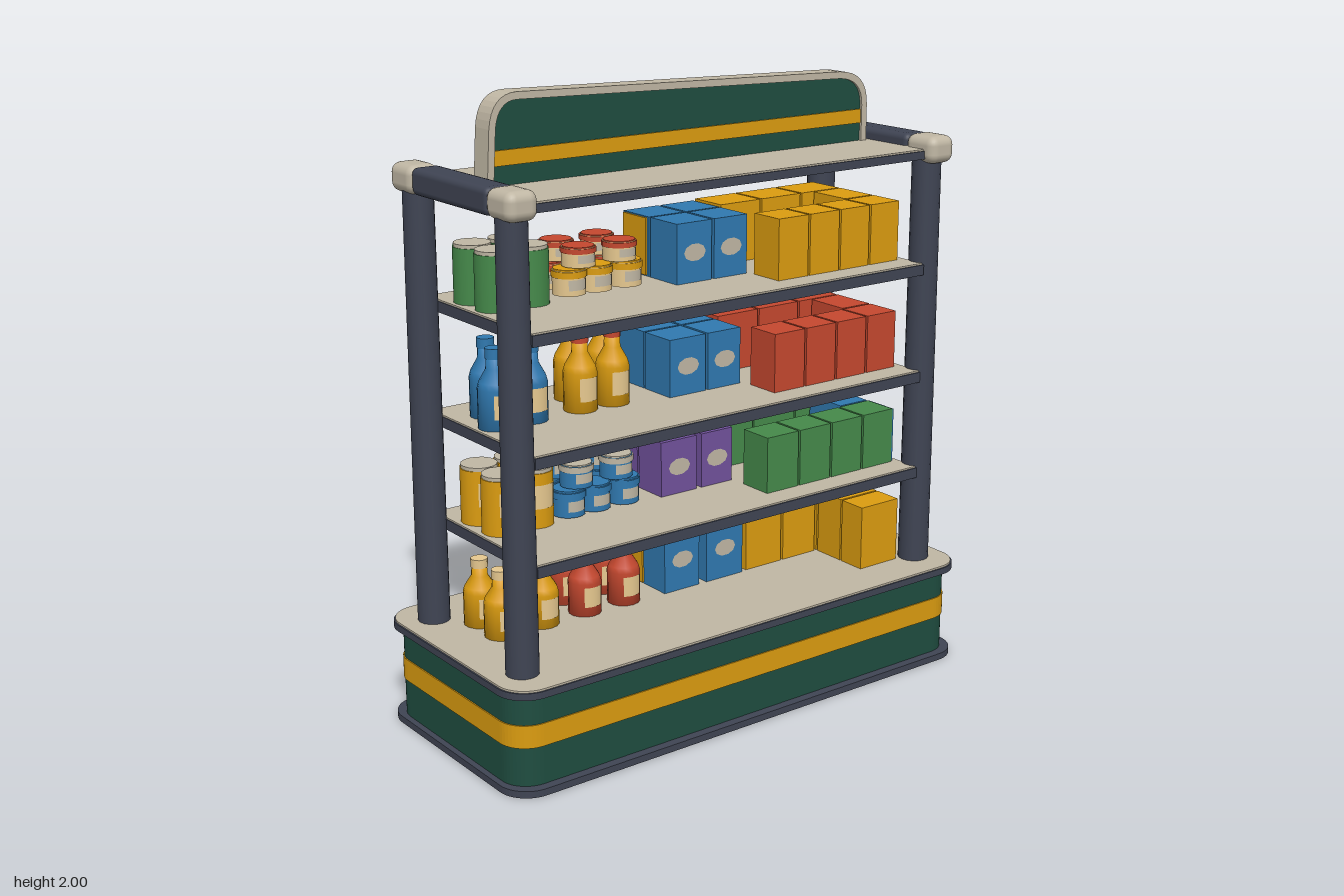
import * as THREE from 'three';
import { RoundedBoxGeometry } from 'three/addons/geometries/RoundedBoxGeometry.js';

const mat = (name, color) => Object.assign(new THREE.MeshStandardMaterial({ color }), { name });

export function createModel() {
  const M = {
    navy: mat('slate navy', 0x3f4453), beige: mat('warm beige', 0xc0b7a4), pine: mat('pine green', 0x1f4d40),
    gold: mat('gold', 0xdb9c10), blue: mat('blue', 0x3079b0), red: mat('red', 0xc5482f),
    green: mat('leaf green', 0x45894a), purple: mat('purple', 0x71529c), cream: mat('cream', 0xe6c88f),
  };
  const root = new THREE.Group();
  root.name = 'shopShelf';
  const add = (name, geo, m, x = 0, y = 0, z = 0, parent = root) => {
    const mesh = new THREE.Mesh(geo, m);
    mesh.name = name;
    mesh.position.set(x, y, z);
    parent.add(mesh);
    return mesh;
  };

  // Horizontal slab with rounded corners, bottom at y0
  const slab = (name, m, w, d, r, y0, y1) => {
    const s = new THREE.Shape(), a = w / 2, b = d / 2;
    s.moveTo(-a + r, -b);
    s.lineTo(a - r, -b); s.absarc(a - r, -b + r, r, -Math.PI / 2, 0);
    s.lineTo(a, b - r); s.absarc(a - r, b - r, r, 0, Math.PI / 2);
    s.lineTo(-a + r, b); s.absarc(-a + r, b - r, r, Math.PI / 2, Math.PI);
    s.lineTo(-a, -b + r); s.absarc(-a + r, -b + r, r, Math.PI, Math.PI * 1.5);
    const g = new THREE.ExtrudeGeometry(s, { depth: y1 - y0, bevelEnabled: false, curveSegments: 6 });
    g.rotateX(-Math.PI / 2);
    add(name, g, m, 0, y0, 0);
  };

  // Plinth
  slab('footPlate', M.navy, 1.79, 0.78, 0.1, 0, 0.022);
  slab('plinth', M.pine, 1.75, 0.72, 0.09, 0.022, 0.31);
  slab('plinthStripe', M.gold, 1.758, 0.728, 0.094, 0.145, 0.217);
  slab('plinthRim', M.navy, 1.79, 0.78, 0.1, 0.31, 0.332);
  slab('plinthTop', M.beige, 1.78, 0.77, 0.095, 0.332, 0.338);

  // Shelves and roof board: dark board with a light top
  for (const y of [0.675, 1.005, 1.365, 1.735]) {
    const t = y > 1.7 ? 0.026 : 0.034;
    add('shelfBoard', new THREE.BoxGeometry(1.5, t, 0.59), M.navy, 0, y - 0.005 - t / 2, 0);
    add('shelfTop', new THREE.BoxGeometry(1.495, 0.006, 0.58), M.beige, 0, y - 0.003, 0);
  }

  // Posts, top rails and corner caps
  for (const sx of [-1, 1]) {
    for (const sz of [-1, 1]) {
      add('post', new THREE.CylinderGeometry(0.047, 0.051, 1.37, 16), M.navy, sx * 0.785, 1.02, sz * 0.255);
      add('cornerCap', new RoundedBoxGeometry(0.104, 0.088, 0.13, 3, 0.03), M.beige, sx * 0.788, 1.732, sz * 0.265);
    }
    add('topRail', new RoundedBoxGeometry(0.096, 0.082, 0.42, 2, 0.02), M.navy, sx * 0.787, 1.732, 0);
  }

  // Header sign, slightly lower on its right-hand end
  const signPath = (S, i) => {
    const s = new S();
    s.moveTo(-0.725 + i, 1.735);
    s.lineTo(-0.715 + i, 1.9);
    s.quadraticCurveTo(-0.705 + i, 2 - i, -0.62, 2 - i);
    s.lineTo(0.6, 1.965 - i);
    s.quadraticCurveTo(0.72 - i, 1.96 - i, 0.72 - i, 1.85);
    s.lineTo(0.72 - i, 1.735);
    return s;
  };
  const rim = signPath(THREE.Shape, 0);
  rim.lineTo(0.698, 1.735);
  const inner = signPath(THREE.Path, 0.022).getPoints(8).reverse();
  inner.forEach((p) => rim.lineTo(p.x, p.y));
  const extrude = (s, depth) => {
    const g = new THREE.ExtrudeGeometry(s, { depth, bevelEnabled: false, curveSegments: 8 });
    g.translate(0, 0, -depth / 2);
    return g;
  };
  add('signRim', extrude(rim, 0.074), M.beige);
  add('signPanel', extrude(signPath(THREE.Shape, 0.02), 0.056), M.pine);
  for (const s of [-1, 1])
    add('signStripe', new THREE.BoxGeometry(1.4, 0.045, 0.006), M.gold, -0.003, 1.815, s * 0.03);

  // Goods
  const label = (m, x, y, z, back, rx = 0.042, ry = 0.028) => {
    const c = add('label', new THREE.CircleGeometry(1, 10), m, x, y, z);
    c.scale.set(rx, ry, 1);
    if (back) c.rotation.y = Math.PI;
  };
  const carton = (m, x0, x1, y, h, z0, z1) =>
    add('carton', new THREE.BoxGeometry(x1 - x0, h, z1 - z0), m, (x0 + x1) / 2, y + h / 2, (z0 + z1) / 2);
  const lathe = (pts) => new THREE.LatheGeometry(pts.map(([r, y]) => new THREE.Vector2(r, y)), 14);
  const wrap = (m, r, h, x, y, z) => {
    for (const a of [-0.6, Math.PI - 0.6])
      add('wrapLabel', new THREE.CylinderGeometry(r, r, h, 6, 1, true, a, 1.2), m, x, y, z);
  };
  const bottle = (m, cap, x, y, z, h) => {
    const r = 0.053;
    add('bottle', lathe([[0, 0], [r, 0], [r, h * 0.5], [r * 0.9, h * 0.58], [0.026, h * 0.74], [0.024, h * 0.9], [0, h * 0.9]]), m, x, y, z);
    add('bottleCap', new THREE.CylinderGeometry(0.027, 0.027, h * 0.13, 12), cap, x, y + h * 0.935, z);
    wrap(M.cream, r + 0.002, h * 0.3, x, y + h * 0.3, z);
  };
  const can = (m, lid, x, y, z, r, h) => {
    add('can', new THREE.CylinderGeometry(r, r, h * 0.94, 16), m, x, y + h * 0.47, z);
    add('canLid', new THREE.CylinderGeometry(r * 0.95, r * 0.95, h * 0.06, 16), lid, x, y + h * 0.97, z);
  };
  const tin = (m, lid, x, y, z, h) => {
    can(m, lid, x, y, z, 0.052, h);
    add('tinRim', new THREE.CylinderGeometry(0.055, 0.055, h * 0.25, 14), lid, x, y + h * 0.8, z);
    wrap(M.beige, 0.0535, h * 0.4, x, y + h * 0.42, z);
  };
  const Y = [0.338, 0.675, 1.005, 1.365];
  const rows = [-0.02, -0.14];

  // Cartons in the middle bay, labelled front and back
  const middle = [
    [M.blue, [-0.09, 0.05], [0.08, 0.23], 0.21, 0.02], [M.purple, [-0.11, 0.03], [0.05, 0.175], 0.18, 0.03],
    [M.blue, [-0.09, 0.05], [0.06, 0.19], 0.185, 0.05], [M.blue, [-0.07, 0.065], [0.075, 0.205], 0.19, 0.06],
  ];
  middle.forEach(([m, a, b, h, front], i) => {
    for (const [x0, x1] of [a, b]) {
      const mid = (front - 0.22) / 2;
      carton(m, x0, x1, Y[i], h, mid + 0.004, front);
      carton(m, x0, x1, Y[i], h, -0.22, mid - 0.004);
      label(M.beige, (x0 + x1) / 2, Y[i] + h * 0.5, front + 0.003);
      label(M.beige, (x0 + x1) / 2, Y[i] + h * 0.5, -0.223, true);
    }
    if (i % 3 === 0) add('cartonSide', new THREE.BoxGeometry(0.006, h * 0.96, 0.12), M.gold, a[0] - 0.003, Y[i] + h / 2, -0.155);
  });

  // Right bay, lowest level: pale-backed cartons plus a column along the end
  for (const [x0, x1] of [[0.25, 0.4], [0.41, 0.55], [0.56, 0.72]]) {
    carton(M.gold, x0, x1, Y[0], 0.215, -0.22, -0.105);
    carton(M.gold, x0, x1, Y[0], 0.215, -0.098, 0.015);
    add('cartonBack', new THREE.BoxGeometry(x1 - x0 - 0.004, 0.21, 0.006), M.cream, (x0 + x1) / 2, Y[0] + 0.108, -0.223);
    label(M.gold, (x0 + x1) / 2, Y[0] + 0.12, -0.228, true, 0.016, 0.016);
  }
  carton(M.gold, 0.56, 0.72, Y[0], 0.215, 0.022, 0.135);
  carton(M.gold, 0.56, 0.72, Y[0], 0.215, 0.142, 0.24);

  // Right bay, upper levels: front row, back row and an end carton between
  [[M.green, 0.18, 0.185, M.blue], [M.red, 0.205, 0.19, M.red], [M.gold, 0.215, 0.195, M.gold]].forEach(([m, x0, h, end], i) => {
    const y = Y[i + 1], w = (0.725 - x0) / 4, v = (0.725 - x0) / 3;
    for (let k = 0; k < 4; k++) carton(m, x0 + k * w, x0 + (k + 1) * w - 0.008, y, h, 0.085, 0.205);
    for (let k = 0; k < 3; k++) carton(m, x0 + k * v, x0 + (k + 1) * v - 0.008, y, h, -0.22, -0.085);
    carton(end, 0.6, 0.717, y, h, -0.078, 0.077);
    if (end !== m) add('cartonEnd', new THREE.BoxGeometry(0.006, h * 0.98, 0.118), end, 0.72, y + h / 2, 0.145);
  });

  // Left bay: bottles, cans and stacked tins, two rows deep
  rows.forEach((z, r) => {
    for (const x of [-0.685, -0.535]) bottle(M.gold, M.cream, x, Y[0], z, 0.215);
    for (const x of [-0.375, -0.225]) bottle(M.red, M.cream, x, Y[0], z, 0.215);
    const s = r * 0.045;
    for (const x of [-0.685, -0.56]) bottle(M.blue, M.blue, x + s, Y[2], z, 0.245);
    for (const x of [-0.38, -0.26]) bottle(M.gold, M.red, x + s, Y[2], z, 0.245);
    for (const x of [-0.675, -0.555]) {
      can(M.gold, M.beige, x, Y[1], z, 0.06, 0.185);
      wrap(M.cream, 0.062, 0.075, x, Y[1] + 0.1, z);
      can(M.green, M.beige, x, Y[3], z, 0.06, 0.18);
    }
    for (const x of [-0.43, -0.335, -0.225]) {
      tin(M.blue, M.blue, x, Y[1] + 0.004, z, 0.085);
      tin(M.cream, r ? M.red : M.gold, x + 0.015, Y[3] + 0.01, z, 0.08);
    }
    for (const x of [-0.4, -0.25]) {
      tin(M.blue, M.beige, x, Y[1] + 0.092, z, 0.075);
      tin(M.cream, M.red, x + 0.02, Y[3] + 0.092, z, 0.062);
    }
  });

  return root;
}
